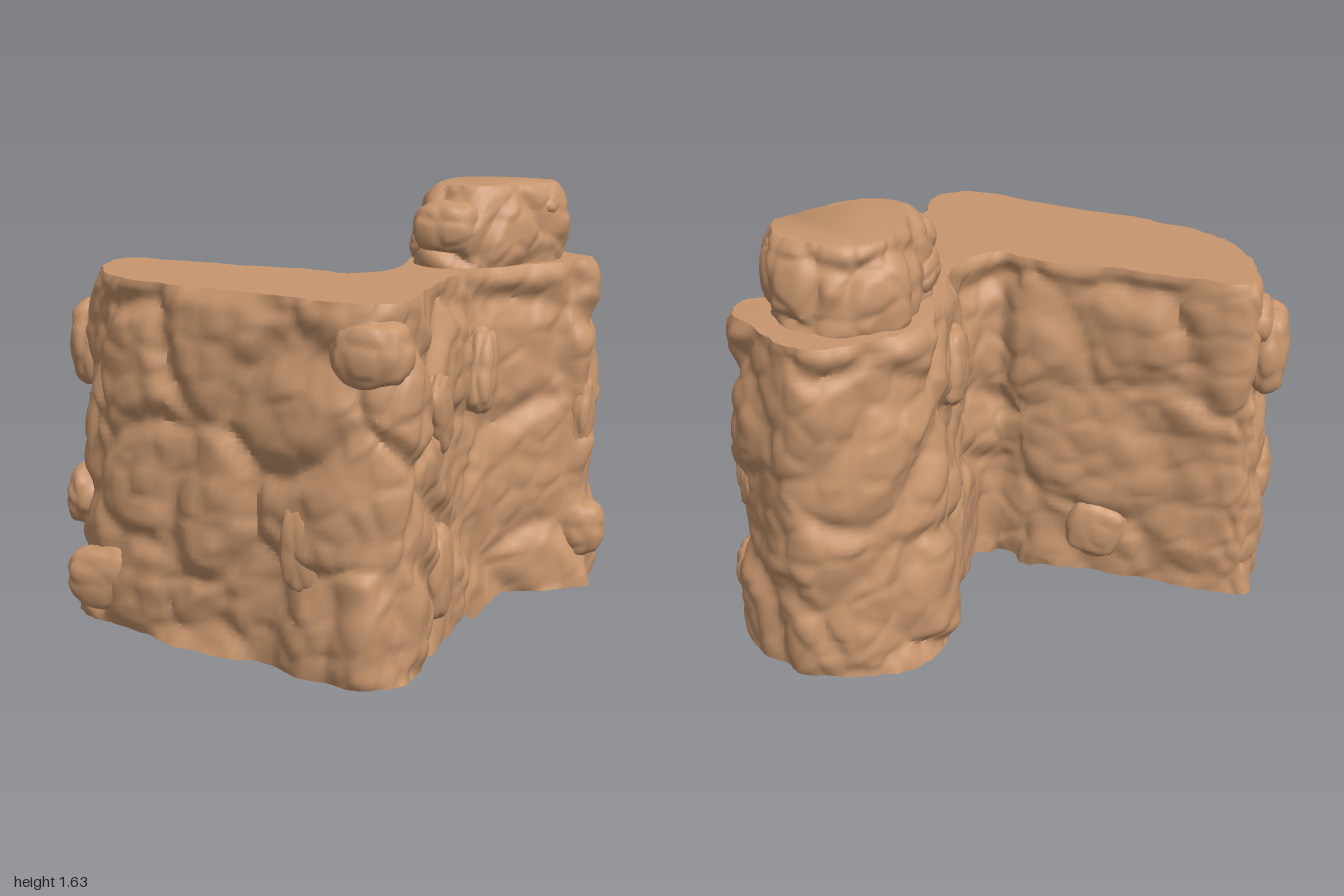
import * as THREE from 'three';
import { toCreasedNormals, mergeVertices } from 'three/addons/utils/BufferGeometryUtils.js';

const rock = new THREE.MeshStandardMaterial({ color: 0xc8966e, side: THREE.DoubleSide });

// Repeatable value in 0..1 for a grid cell
const hash = (x, y, z, k) => {
  const s = Math.sin(x * 127.1 + y * 311.7 + z * 74.7 + k * 53.3) * 43758.5453;
  return s - Math.floor(s);
};

// Soft bumps for chiselled surfaces
const ripple = (x, y, z) =>
  Math.sin(x * 17 + Math.sin(y * 13 + z * 5) * 2) * Math.sin(y * 19 + Math.sin(z * 15) * 2) * Math.sin(z * 16 + x * 6 + 1);

// Cellular stones: each has its own height and tilt, with soft grooves between
function stones(x, y, z, size) {
  const p = [x / size, y / size, z / size];
  const c = p.map(Math.floor);
  let d1 = 9, d2 = 9, height = 0;
  for (let i = -1; i <= 1; i++) for (let j = -1; j <= 1; j++) for (let k = -1; k <= 1; k++) {
    const g = [c[0] + i, c[1] + j, c[2] + k];
    const v = p.map((n, a) => n - g[a] - 0.1 - 0.8 * hash(g[0], g[1], g[2], a));
    const d = Math.hypot(...v);
    if (d < d1) {
      d2 = d1;
      d1 = d;
      height = 0.45 * hash(...g, 4) + v[1] * (hash(...g, 5) - 0.5) * 0.8;
    } else if (d < d2) d2 = d;
  }
  return THREE.MathUtils.smoothstep(d2 - d1, -0.05, 0.35) * (0.55 + height) - 0.6;
}

// Closed curve through flat [x, z] pairs
const outline = (flat) => {
  const pts = [];
  for (let i = 0; i < flat.length; i += 2) pts.push(new THREE.Vector3(flat[i], 0, flat[i + 1]));
  return new THREE.CatmullRomCurve3(pts, true, 'centripetal');
};

// Rocky wall lofted from a lower to an upper outline, with a flat cap
function loft({ low, high, y0, y1, cols, rows, size, depth, inset, shape, dip = () => 0 }) {
  const a = outline(low), b = outline(high);
  const pos = [], index = [], rim = [];
  for (let j = 0; j <= rows; j++) {
    const t = j / rows, y = y0 + (y1 - y0) * t;
    for (let i = 0; i < cols; i++) {
      const at = (u) => a.getPoint((u + 1) % 1).lerp(b.getPoint((u + 1) % 1), t);
      const p = at(i / cols), tan = at((i + 3) / cols).sub(at((i - 3) / cols)).normalize();
      const edge = Math.max(0, (y - y1 + 0.05) / 0.05);
      const out = depth * stones(p.x + 0.02 * Math.sin(y * 14), y + 0.02 * Math.sin(p.x * 15), p.z, size) * (1 - 0.6 * edge)
        + 0.012 * stones(p.x, y, p.z, 0.14) + 0.006 * ripple(p.x, y, p.z) - inset * edge * edge + shape(t);
      const x = p.x + tan.z * out, z = p.z - tan.x * out;
      pos.push(x, y - (j === 0 ? dip(x, z) : 0), z);
      if (j === rows) rim.push(new THREE.Vector2(x, z));
      if (j < rows) {
        const n = (i + 1) % cols, q = j * cols;
        index.push(q + i, q + cols + i, q + n, q + n, q + cols + i, q + cols + n);
      }
    }
  }
  // Cap faces all turned upward
  for (const [i, j, k] of THREE.ShapeUtils.triangulateShape(rim, [])) {
    const [p, q, r] = [rim[i], rim[j], rim[k]];
    const up = (q.y - p.y) * (r.x - p.x) - (q.x - p.x) * (r.y - p.y) > 0;
    const o = rows * cols;
    index.push(o + i, o + (up ? j : k), o + (up ? k : j));
  }
  const geo = new THREE.BufferGeometry();
  geo.setAttribute('position', new THREE.Float32BufferAttribute(pos, 3));
  geo.setIndex(index);
  return toCreasedNormals(geo, 0.9);
}

// Lumpy rounded stone, leaning by an angle about the z and x axes
function boulder(x, y, z, rx, ry, rz, leanZ = 0, leanX = 0) {
  let geo = new THREE.IcosahedronGeometry(1, 8);
  geo.deleteAttribute('normal');
  geo.deleteAttribute('uv');
  geo = mergeVertices(geo);
  const p = geo.attributes.position, v = new THREE.Vector3();
  for (let i = 0; i < p.count; i++) {
    v.fromBufferAttribute(p, i);
    // Square off slightly, then roughen
    const box = Math.max(Math.abs(v.x), Math.abs(v.y), Math.abs(v.z));
    const r = 0.92 / box ** 0.3 + 0.1 * stones(v.x + x * 9, v.y + y * 9, v.z + z * 9, 0.9);
    p.setXYZ(i, v.x * r * rx, v.y * r * ry, v.z * r * rz);
  }
  geo.rotateZ(leanZ).rotateX(leanX).translate(x, y, z);
  geo.computeVertexNormals();
  return geo;
}

export function createModel() {
  const group = new THREE.Group();
  const add = (name, geo) => {
    const mesh = new THREE.Mesh(geo, rock);
    mesh.name = name;
    group.add(mesh);
  };

  // Bent wall with a round pillar at its back end, open underneath
  const spot = (x, z, px, pz) => Math.exp(-((x - px) ** 2 + (z - pz) ** 2) / 0.004);
  add('cliffWall', loft({
    low: [-0.95, 0.03, -0.9, -0.08, -0.8, -0.1, -0.5, -0.05, -0.25, -0.02, 0, 0.03, 0.09, 0.09, 0.17, 0.02,
      0.18, -0.15, 0.17, -0.4, 0.15, -0.58, 0.23, -0.71, 0.36, -0.82, 0.52, -0.87, 0.68, -0.86, 0.84, -0.72,
      0.94, -0.57, 0.93, -0.43, 0.78, -0.32, 0.63, -0.17, 0.57, 0, 0.53, 0.2, 0.52, 0.45, 0.53, 0.68,
      0.49, 0.8, 0.38, 0.86, 0.2, 0.85, 0, 0.75, -0.3, 0.68, -0.55, 0.6, -0.78, 0.5, -0.89, 0.36, -0.95, 0.2],
    high: [-0.88, 0.03, -0.87, -0.05, -0.8, -0.08, -0.5, -0.03, -0.25, 0.01, 0, 0.04, 0.09, 0.1, 0.19, 0.02,
      0.2, -0.15, 0.2, -0.4, 0.19, -0.56, 0.26, -0.68, 0.37, -0.78, 0.52, -0.85, 0.67, -0.84, 0.81, -0.71,
      0.91, -0.57, 0.89, -0.46, 0.75, -0.33, 0.61, -0.18, 0.53, 0, 0.5, 0.2, 0.49, 0.45, 0.5, 0.62,
      0.47, 0.73, 0.37, 0.8, 0.22, 0.79, 0, 0.71, -0.3, 0.62, -0.52, 0.54, -0.69, 0.44, -0.81, 0.31, -0.87, 0.17],
    y0: 0.05, y1: 1.335, cols: 360, rows: 72, size: 0.42, depth: 0.055, inset: 0.015,
    shape: (t) => -0.005 + 0.012 * Math.sin(Math.PI * t),
    dip: (x, z) => 0.05 * (spot(x, z, 0.55, -0.05) + 0.6 * spot(x, z, 0, 0.03)),
  }));

  // Cap stone on the pillar, bulging at mid height
  add('pillarCapStone', loft({
    low: [0.27, -0.6, 0.36, -0.68, 0.5, -0.74, 0.65, -0.7, 0.76, -0.6, 0.78, -0.46, 0.72, -0.36, 0.62, -0.22,
      0.55, -0.14, 0.44, -0.12, 0.32, -0.15, 0.25, -0.27, 0.26, -0.45],
    high: [0.33, -0.59, 0.4, -0.65, 0.5, -0.68, 0.64, -0.65, 0.75, -0.57, 0.77, -0.46, 0.71, -0.37, 0.62, -0.26,
      0.55, -0.2, 0.44, -0.18, 0.35, -0.21, 0.31, -0.3, 0.31, -0.45],
    y0: 1.32, y1: 1.63, cols: 150, rows: 28, size: 0.27, depth: 0.035, inset: 0.015,
    shape: (t) => 0.02 * Math.sin(Math.PI * t),
  }));

  // Stones standing out from the walls: centre, radii, leans
  [
    [-0.9, 1.03, 0.1, 0.1, 0.19, 0.15], [-0.84, 1.16, 0.06, 0.1, 0.1, 0.13],
    [0.36, 1.17, 0.74, 0.15, 0.13, 0.11], [-0.7, 0.22, 0.46, 0.2, 0.14, 0.1, 0.1],
    [-0.87, 0.47, 0.22, 0.1, 0.14, 0.17], [0.13, 0.5, 0.76, 0.09, 0.18, 0.06],
    [0.5, 0.9, 0.38, 0.05, 0.17, 0.11, 0, 0.5], [0.56, 0.97, -0.04, 0.07, 0.18, 0.09, 0, -0.25],
    [0.87, 0.27, -0.49, 0.13, 0.13, 0.11], [0.87, 0.72, -0.53, 0.06, 0.18, 0.12],
    [0.2, 1.06, -0.3, 0.07, 0.16, 0.12, 0, 0.2], [-0.3, 0.25, 0, 0.13, 0.13, 0.06, 0.3],
    [0.49, 0.32, 0.36, 0.07, 0.2, 0.12],
  ].forEach((b, i) => add('wallStone' + (i + 1), boulder(...b)));

  // Lumps on the cap stone
  [
    [0.4, 1.48, -0.17, 0.14, 0.11, 0.1], [0.71, 1.55, -0.48, 0.08, 0.07, 0.11], [0.32, 1.41, -0.28, 0.09, 0.08, 0.13],
  ].forEach((b, i) => add('capLump' + (i + 1), boulder(...b)));

  return group;
}
